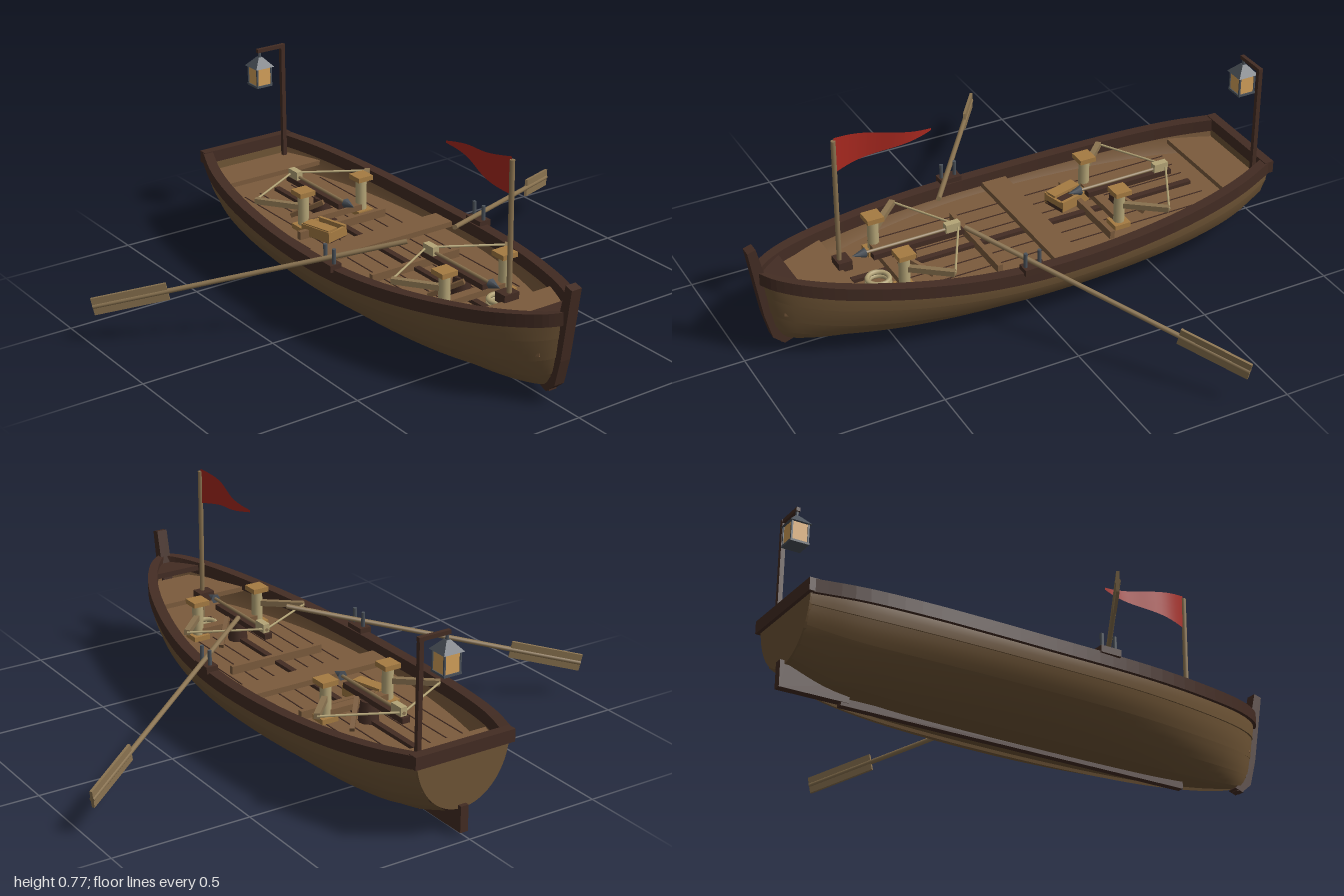
import * as THREE from 'three';

const mat = (name, color, side = THREE.FrontSide) => {
  const m = new THREE.MeshStandardMaterial({ color, side });
  m.name = name;
  return m;
};

export function createModel() {
  const root = new THREE.Group();
  root.name = 'rowingBoat';
  const hullWood = mat('hullWood', 0x6e5435), darkWood = mat('darkWood', 0x432c23);
  const deckWood = mat('deckWood', 0x7b5b3c), oarWood = mat('oarWood', 0x8a7350);
  const capWood = mat('capWood', 0xa57b42), rope = mat('rope', 0xb5a577);
  const steel = mat('steel', 0x4b525a), amber = mat('amberGlass', 0xd3a05a);
  const red = mat('redCloth', 0xa8281f, THREE.DoubleSide);
  const V = (x, y, z) => new THREE.Vector3(x, y, z);

  const add = (name, geo, m, parent = root, x = 0, y = 0, z = 0) => {
    const mesh = new THREE.Mesh(geo, m);
    mesh.name = name;
    mesh.position.set(x, y, z);
    parent.add(mesh);
    return mesh;
  };
  const box = (name, w, h, d, m, x, y, z, parent) =>
    add(name, new THREE.BoxGeometry(w, h, d), m, parent, x, y, z);
  // Square bar between two points
  const bar = (name, a, b, w, h, m, parent = root) => {
    const mesh = box(name, w, h, a.distanceTo(b), m, 0, 0, 0, parent);
    mesh.quaternion.setFromRotationMatrix(new THREE.Matrix4().lookAt(b, a, V(0, 1, 0)));
    mesh.position.copy(a).lerp(b, 0.5);
    return mesh;
  };
  // Round rod between two points
  const rod = (name, a, b, r, m, parent = root, sides = 8) => {
    const mesh = add(name, new THREE.CylinderGeometry(r, r, a.distanceTo(b), sides), m, parent);
    mesh.quaternion.setFromUnitVectors(V(0, 1, 0), b.clone().sub(a).normalize());
    mesh.position.copy(a).lerp(b, 0.5);
    return mesh;
  };
  // Flat outline in x,y with thickness across z
  const slab = (name, pts, depth, m) => {
    const shape = new THREE.Shape(pts.map(p => new THREE.Vector2(...p)));
    const geo = new THREE.ExtrudeGeometry(shape, { depth, bevelEnabled: false });
    return add(name, geo.translate(0, 0, -depth / 2), m);
  };
  // Surface grid from a rule fn(u, v)
  const grid = (nu, nv, fn, flip) => {
    const pos = [], idx = [];
    for (let i = 0; i <= nu; i++) for (let j = 0; j <= nv; j++) pos.push(...fn(i / nu, j / nv).toArray());
    for (let i = 0; i < nu; i++) for (let j = 0; j < nv; j++) {
      const a = i * (nv + 1) + j, d = a + 1, b = a + nv + 1, c = b + 1;
      idx.push(...(flip ? [a, c, b, a, d, c] : [a, b, c, a, c, d]));
    }
    const g = new THREE.BufferGeometry();
    g.setAttribute('position', new THREE.Float32BufferAttribute(pos, 3));
    g.setIndex(idx);
    g.computeVertexNormals();
    return g;
  };

  // Hull lines: sheer holds x, height, half beam; keel holds x, height
  const sheer = new THREE.CatmullRomCurve3([
    [-0.95, 0.305, 0.175], [-0.8, 0.29, 0.232], [-0.6, 0.273, 0.277], [-0.35, 0.258, 0.306],
    [-0.1, 0.251, 0.316], [0.1, 0.253, 0.311], [0.3, 0.262, 0.287], [0.5, 0.277, 0.241],
    [0.7, 0.298, 0.173], [0.82, 0.314, 0.112], [0.9, 0.326, 0.05], [0.935, 0.332, 0]].map(p => V(...p)));
  const keel = new THREE.CatmullRomCurve3([
    [-0.95, 0.095], [-0.8, 0.045], [-0.6, 0.024], [-0.35, 0.017], [-0.1, 0.015], [0.1, 0.015],
    [0.3, 0.016], [0.5, 0.02], [0.68, 0.032], [0.78, 0.045], [0.85, 0.06], [0.89, 0.08]].map(p => V(...p, 0)));
  const hullPoint = (u, v, off, side) => {
    const S = sheer.getPoint(u), K = keel.getPoint(u), a = v * Math.PI / 2;
    const o = off * Math.min(1, Math.max(0, S.z) / 0.08);
    return V(K.x + (S.x - K.x) * v, K.y + (S.y - K.y) * (1 - Math.cos(a)) - o * Math.cos(a),
      side * Math.max(0, S.z * Math.sin(a) + o * Math.sin(a)));
  };
  // Half width of the hull at a given x and height
  const halfWidth = (x, y) => {
    let lo = 0, hi = 1;
    for (let i = 0; i < 24; i++) {
      const mid = (lo + hi) / 2;
      if (sheer.getPoint(mid).x < x) lo = mid; else hi = mid;
    }
    const S = sheer.getPoint(lo), K = keel.getPoint(lo);
    const c = Math.max(0, 1 - (y - K.y) / (S.y - K.y));
    return Math.max(0, S.z * Math.sqrt(1 - c * c) - 0.006);
  };

  // Overlapping strakes, inner skin and gunwale on both sides
  const strakes = 5, lap = 0.011;
  for (const side of [1, -1]) {
    for (let j = 0; j < strakes; j++) {
      const off = j ? lap : 0;
      add('strake', grid(48, 4, (u, t) => hullPoint(u, (j + t) / strakes, off * (1 - t), side), side < 0), hullWood);
      if (j) add('strakeLap', grid(48, 1, (u, t) => hullPoint(u, j / strakes, off * t, side), side < 0), hullWood);
    }
    add('innerSkin', grid(48, 8, (u, t) => hullPoint(u, 0.3 + 0.7 * t, -0.012, side), side > 0), deckWood);
    const corners = [[0.016, -0.032], [0.016, 0.014], [-0.024, 0.014], [-0.024, -0.032], [0.016, -0.032]];
    const rail = grid(40, 4, (u, t) => {
      const S = sheer.getPoint(u), [dz, dy] = corners[Math.round(t * 4)];
      return V(S.x, S.y + dy, side * Math.max(0, S.z + dz));
    }, side < 0).toNonIndexed();
    rail.computeVertexNormals();
    add('gunwale', rail, darkWood);
  }

  // Transom
  const edge = [];
  for (let i = -16; i <= 16; i++) {
    const p = hullPoint(0, Math.abs(i) / 16, 0.004, Math.sign(i) || 1);
    edge.push(new THREE.Vector2(p.z, p.y));
  }
  add('transom', new THREE.ExtrudeGeometry(new THREE.Shape(edge), { depth: 0.02, bevelEnabled: false })
    .rotateY(-Math.PI / 2), hullWood, root, -0.935);
  box('transomRail', 0.035, 0.045, 0.385, darkWood, -0.95, 0.298, 0);

  // Floor and decks cut to the hull outline
  const deck = (name, x0, x1, y, th, m) => {
    const left = [], right = [];
    for (let i = 0; i <= 24; i++) {
      const x = x0 + (x1 - x0) * i / 24, w = halfWidth(x, y);
      left.push(new THREE.Vector2(x, w));
      right.unshift(new THREE.Vector2(x, -w));
    }
    add(name, new THREE.ExtrudeGeometry(new THREE.Shape([...left, ...right]), { depth: th, bevelEnabled: false })
      .rotateX(Math.PI / 2), m, root, 0, y);
  };
  deck('floor', -0.94, 0.87, 0.19, 0.012, deckWood);
  deck('sternBench', -0.94, -0.78, 0.245, 0.018, deckWood);
  deck('thwart', -0.14, -0.045, 0.232, 0.02, deckWood);
  deck('bowDeck', 0.64, 0.86, 0.272, 0.018, deckWood);
  deck('breasthook', 0.82, 0.92, 0.318, 0.02, darkWood);
  for (const z of [-0.2, -0.135, -0.07, 0.07, 0.135, 0.2])
    box('floorSeam', 1.2, 0.002, 0.004, darkWood, -0.15, 0.191, z);
  box('keelson', 1.34, 0.014, 0.022, darkWood, -0.07, 0.196, 0);
  for (const x of [-0.31, 0.13]) box('footRest', 0.018, 0.03, 0.37, deckWood, x, 0.205, 0);

  // Keel, skeg and stem
  box('keel', 1.35, 0.026, 0.026, darkWood, -0.075, 0.013, 0);
  slab('skeg', [[-0.97, 0.012], [-0.72, 0.012], [-0.72, 0.04], [-0.8, 0.055], [-0.945, 0.105], [-0.97, 0.105]], 0.03, darkWood);
  slab('stem', [[0.83, 0.05], [0.86, 0.04], [0.9, 0.075], [0.925, 0.17], [0.943, 0.28], [0.967, 0.432],
    [0.937, 0.44], [0.905, 0.3], [0.88, 0.1]], 0.04, darkWood);
  box('stemFoot', 0.03, 0.03, 0.03, darkWood, 0.855, 0.058, 0);

  // Oars with locks
  for (const s of [1, -1]) {
    const oar = new THREE.Group();
    oar.name = s > 0 ? 'leftOar' : 'rightOar';
    root.add(oar);
    const tip = V(-0.355, 0.135, 0.985 * s), grip = V(0.22, 0.352, 0.1 * s);
    rod('oarShaft', tip, grip, 0.009, oarWood, oar);
    bar('oarBlade', tip, tip.clone().lerp(grip, 0.24), 0.01, 0.062, oarWood, oar);
    box('lockBlock', 0.08, 0.025, 0.045, darkWood, 0.075, 0.272, 0.316 * s, oar);
    for (const x of [0.052, 0.104])
      rod('lockPin', V(x, 0.27, 0.316 * s), V(x, 0.338, 0.316 * s), 0.007, steel, oar);
  }

  // Two mounted bolt throwers
  const thrower = x => {
    const g = new THREE.Group();
    g.name = 'boltThrower';
    g.position.x = x;
    root.add(g);
    add('pedestal', new THREE.CylinderGeometry(0.028, 0.036, 0.075, 10), darkWood, g, -0.07, 0.227, 0);
    box('stock', 0.34, 0.02, 0.03, darkWood, -0.11, 0.272, 0, g);
    box('crossBeam', 0.035, 0.022, 0.25, deckWood, 0, 0.225, 0, g);
    rod('boltShaft', V(-0.27, 0.293, 0), V(0.09, 0.293, 0), 0.006, oarWood, g);
    const head = add('boltHead', new THREE.ConeGeometry(0.018, 0.05, 6), steel, g, 0.11, 0.293, 0);
    head.rotation.z = -Math.PI / 2;
    box('stringCatch', 0.055, 0.032, 0.025, rope, -0.24, 0.298, 0, g);
    for (const s of [1, -1]) {
      add('torsionBundle', new THREE.CylinderGeometry(0.02, 0.02, 0.13, 10), rope, g, 0, 0.265, 0.125 * s);
      box('bundleCap', 0.062, 0.018, 0.062, capWood, 0, 0.336, 0.125 * s, g);
      box('bundleFoot', 0.062, 0.018, 0.062, capWood, 0, 0.205, 0.125 * s, g);
      const armTip = V(-0.13, 0.29, 0.245 * s);
      bar('throwArm', V(0, 0.28, 0.125 * s), armTip, 0.02, 0.02, oarWood, g);
      rod('bowString', armTip, V(-0.265, 0.295, 0), 0.004, rope, g, 6);
      bar('brace', V(-0.12, 0.2, 0.1 * s), V(-0.03, 0.262, 0.02 * s), 0.016, 0.016, deckWood, g);
    }
  };
  thrower(-0.37);
  thrower(0.46);

  // Bolt box and rope coil on the floor
  const bolts = new THREE.Group();
  bolts.name = 'boltBox';
  bolts.position.set(-0.285, 0.2, 0.095);
  bolts.rotation.y = 0.25;
  root.add(bolts);
  box('boxBase', 0.13, 0.015, 0.09, darkWood, 0, 0, 0, bolts);
  for (const s of [1, -1]) {
    box('boxSide', 0.13, 0.04, 0.012, capWood, 0, 0.015, 0.042 * s, bolts);
    box('boxEnd', 0.01, 0.035, 0.08, capWood, 0.06 * s, 0.013, 0, bolts);
  }
  box('boxLid', 0.12, 0.01, 0.045, capWood, 0, 0.034, 0.022, bolts);
  for (let i = 0; i < 2; i++)
    add('ropeCoil', new THREE.TorusGeometry(0.038, 0.009, 6, 20).rotateX(Math.PI / 2), rope, root, 0.525, 0.2 + i * 0.015, -0.055);

  // Flag
  box('flagStep', 0.05, 0.035, 0.06, darkWood, 0.63, 0.28, 0);
  rod('flagPole', V(0.64, 0.19, 0), V(0.64, 0.757, 0), 0.009, oarWood);
  add('pennant', grid(16, 2, (u, v) => V(0.637 - 0.345 * u,
    0.637 + 0.066 * u + v * (0.13 - 0.122 * u), 0.015 * Math.sin(u * 6)), true), red);

  // Lantern on its bracket
  const lantern = new THREE.Group();
  lantern.name = 'lantern';
  lantern.position.set(-0.912, 0, -0.045);
  root.add(lantern);
  bar('lanternPost', V(0, 0.24, -0.1), V(0.0001, 0.69, -0.1), 0.016, 0.016, darkWood, lantern);
  box('lanternArm', 0.014, 0.014, 0.12, darkWood, 0, 0.683, -0.05, lantern);
  rod('lanternHook', V(0, 0.65, 0), V(0, 0.685, 0), 0.006, steel, lantern);
  box('lanternGlass', 0.06, 0.07, 0.06, amber, 0, 0.59, 0, lantern);
  box('lanternBase', 0.068, 0.008, 0.068, steel, 0, 0.552, 0, lantern);
  const roof = new THREE.CylinderGeometry(0.011, 0.056, 0.036, 4).toNonIndexed();
  roof.computeVertexNormals();
  add('lanternRoof', roof, steel, lantern, 0, 0.641, 0).rotation.y = Math.PI / 4;
  for (const x of [-1, 1]) for (const z of [-1, 1])
    box('lanternFrame', 0.006, 0.07, 0.006, steel, 0.03 * x, 0.59, 0.03 * z, lantern);

  return root;
}
